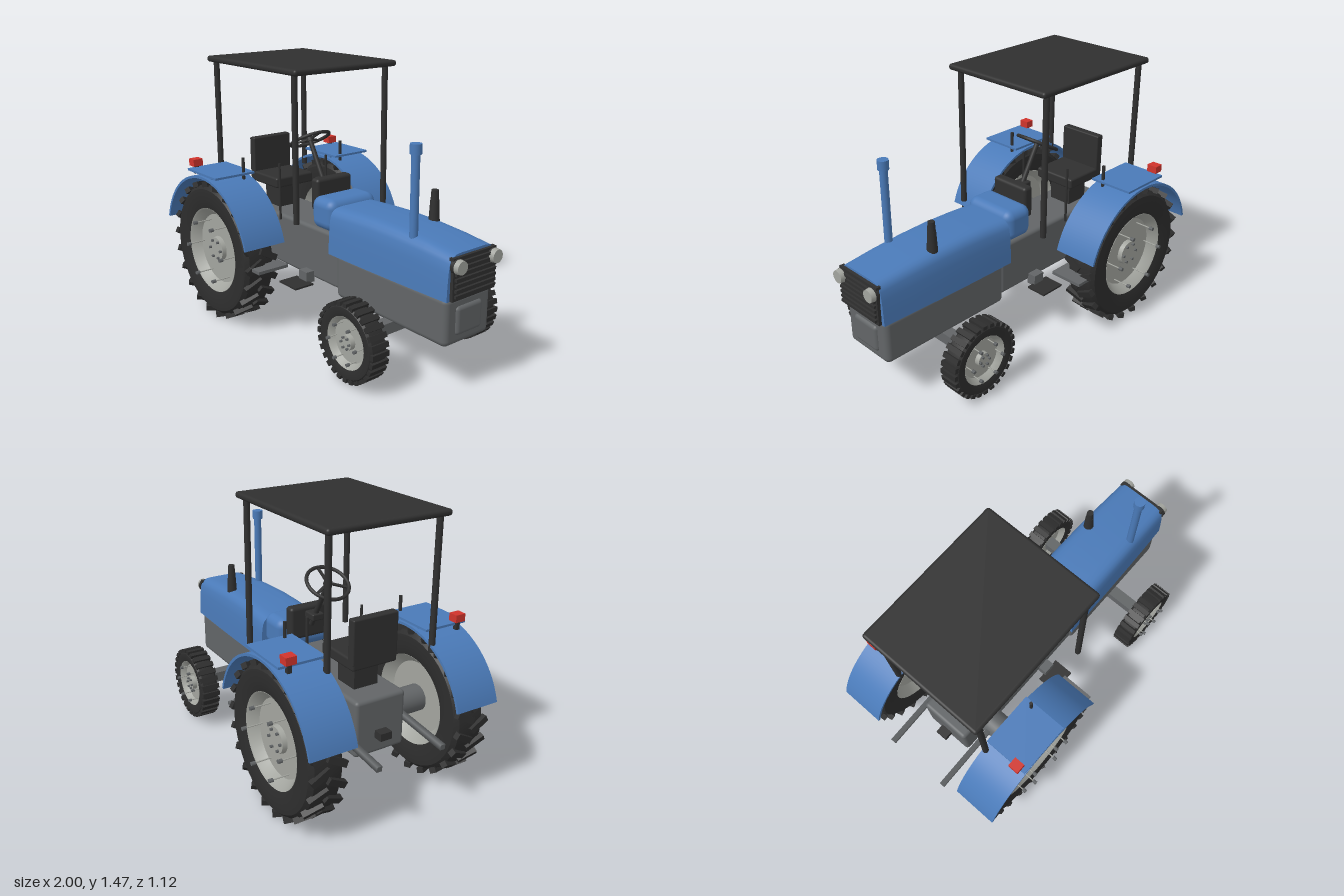
import * as THREE from 'three';
import { toCreasedNormals } from 'three/addons/utils/BufferGeometryUtils.js';
import { RoundedBoxGeometry } from 'three/addons/geometries/RoundedBoxGeometry.js';

const mat = (name, color) => {
  const m = new THREE.MeshStandardMaterial({ color });
  m.name = name;
  return m;
};

export function createModel() {
  const blue = mat('blue paint', 0x4a7ab8), black = mat('black trim', 0x303030);
  const rubber = mat('tyre rubber', 0x2d2d2d), grey = mat('chassis grey', 0x626567);
  const silver = mat('rim grey', 0xa3a59f), red = mat('red lamp', 0xd0342c);
  const root = new THREE.Group();
  root.name = 'tractor';

  const add = (name, geo, material, x = 0, y = 0, z = 0, parent = root) => {
    const m = new THREE.Mesh(geo, material);
    m.name = name;
    m.position.set(x, y, z);
    parent.add(m);
    return m;
  };
  // box given by its min and max corners, rounded when r > 0
  const box = (name, material, [x0, x1], [y0, y1], [z0, z1], r = 0) => {
    const s = [x1 - x0, y1 - y0, z1 - z0];
    const g = r ? new RoundedBoxGeometry(...s, 4, r) : new THREE.BoxGeometry(...s);
    return add(name, g, material, (x0 + x1) / 2, (y0 + y1) / 2, (z0 + z1) / 2);
  };
  // rod between two points
  const rod = (name, material, a, b, r0, r1 = r0, seg = 16) => {
    const A = new THREE.Vector3(...a), B = new THREE.Vector3(...b);
    const m = add(name, new THREE.CylinderGeometry(r1, r0, A.distanceTo(B), seg), material);
    m.position.copy(A).add(B).multiplyScalar(0.5);
    m.quaternion.setFromUnitVectors(new THREE.Vector3(0, 1, 0), B.sub(A).normalize());
    return m;
  };
  const lathe = (pts) => toCreasedNormals(
    new THREE.LatheGeometry(pts.map(p => new THREE.Vector2(...p)), 48), 0.6);

  // Wheel: axis along z, outer face towards +z
  function wheel(name, { R, rim, half, lugs, chevron, boltR, boltZ, boltSize }) {
    const g = new THREE.Group();
    g.name = name;
    const body = R * 0.955;
    add('tyre', lathe([[rim, -half * 0.85], [rim * 1.2, -half], [body * 0.93, -half * 0.97], [body * 0.985, -half * 0.75],
      [body, 0], [body * 0.985, half * 0.75], [body * 0.93, half * 0.97], [rim * 1.2, half], [rim, half * 0.85]]),
    rubber, 0, 0, 0, g).rotation.x = Math.PI / 2;
    const disc = half * 0.3;
    add('rim', lathe([[0, -disc], [rim * 0.8, -disc], [rim, -half * 0.87], [rim * 1.02, 0], [rim, half * 0.87],
      [rim * 0.96, half * 0.8], [rim * 0.82, disc], [0, disc]]), silver, 0, 0, 0, g).rotation.x = Math.PI / 2;
    add('hub', new THREE.CylinderGeometry(rim * 0.28, rim * 0.3, 0.03, 24), silver, 0, 0, disc + 0.01, g).rotation.x = Math.PI / 2;

    // tread lugs: angled pairs on the rear, straight bars on the front
    const lugGeo = chevron ? new THREE.BoxGeometry(R * 0.085, R * 0.075, half * 1.15)
      : new THREE.BoxGeometry(R * 0.13, R * 0.1, half * 1.96);
    for (let i = 0; i < lugs; i++) {
      for (const s of chevron ? [-1, 1] : [0]) {
        const spoke = new THREE.Group();
        spoke.name = 'treadLug';
        spoke.rotation.z = (i + (s > 0 ? 0.5 : 0)) * Math.PI * 2 / lugs;
        add('lug', lugGeo, rubber, 0, R * 0.958, s * half * 0.47, spoke).rotation.y = s * 0.5;
        g.add(spoke);
      }
    }
    // outer bolts on thin studs, and the hub bolt ring
    for (let i = 0; i < 6; i++) {
      const a = i * Math.PI / 3, c = Math.cos(a), s = Math.sin(a);
      const bolt = (label, r, z0, z1, size, m) => {
        add(label, new THREE.CylinderGeometry(size, size, z1 - z0, 6), m, c * r, s * r, (z0 + z1) / 2, g).rotation.x = Math.PI / 2;
      };
      bolt('rimBolt', boltR, boltZ - boltSize * 2, boltZ, boltSize, grey);
      bolt('rimStud', boltR, disc, boltZ - boltSize, boltSize * 0.35, silver);
      bolt('hubBolt', rim * 0.22, disc + 0.02, disc + 0.037, boltSize * 0.75, grey);
    }
    return g;
  }
  for (const s of [1, -1]) {
    const side = s > 0 ? 'left' : 'right';
    const rear = wheel(side + 'RearWheel', { R: 0.4, rim: 0.245, half: 0.093, lugs: 22, chevron: true, boltR: 0.175, boltZ: 0.14, boltSize: 0.011 });
    const front = wheel(side + 'FrontWheel', { R: 0.205, rim: 0.135, half: 0.053, lugs: 28, chevron: false, boltR: 0.1, boltZ: 0.08, boltSize: 0.009 });
    rear.position.set(-0.55, 0.41, s * 0.418);
    front.position.set(0.555, 0.235, s * 0.385);
    if (s < 0) rear.rotation.y = front.rotation.y = Math.PI;
    root.add(rear, front);
  }

  // Hood lofted from cross-sections [x, top, half width]
  const arch = [[1, 0], [0.985, 0.3], [0.96, 0.6], [0.92, 0.81], [0.87, 0.89], [0.79, 0.95], [0.68, 0.985], [0.5, 1]];
  const ring = [...arch, ...arch.map(([w, h]) => [-w, h]).reverse()];
  const secs = [[0.115, 0.75, 0.18], [0.27, 0.758, 0.18], [0.42, 0.762, 0.179], [0.6, 0.757, 0.176], [0.78, 0.745, 0.171], [0.95, 0.727, 0.165]];
  const base = 0.503, n = ring.length, pos = [], idx = [];
  secs.forEach(([x, top, w]) => ring.forEach(([rz, ry]) => pos.push(x, base + ry * (top - base), rz * w)));
  for (let i = 0; i < secs.length - 1; i++) for (let j = 0; j < n; j++) {
    const a = i * n + j, b = i * n + (j + 1) % n;
    idx.push(a, a + n, b, b, a + n, b + n);
  }
  const last = (secs.length - 1) * n;
  for (let j = 1; j < n - 1; j++) idx.push(0, j, j + 1, last, last + j + 1, last + j);
  const hood = new THREE.BufferGeometry();
  hood.setAttribute('position', new THREE.Float32BufferAttribute(pos, 3));
  hood.setIndex(idx);
  add('hood', toCreasedNormals(hood, 0.7), blue);
  box('cowl', blue, [-0.065, 0.118], [0.605, 0.782], [-0.163, 0.163], 0.05);

  // Grille, slats and headlights
  box('grille', black, [0.94, 0.967], [0.505, 0.715], [-0.145, 0.145]);
  for (let i = 0; i < 7; i++) box('grilleSlat', black, [0.96, 0.98], [0.522 + i * 0.027, 0.536 + i * 0.027], [-0.135, 0.135]);
  for (const s of [-1, 1]) {
    rod('headlightHousing', black, [0.955, 0.675, s * 0.12], [0.975, 0.675, s * 0.12], 0.037, 0.037, 24);
    rod('headlight', silver, [0.975, 0.675, s * 0.12], [1.0, 0.675, s * 0.12], 0.036, 0.033, 24);
  }

  // Exhaust and air intake
  rod('exhaustPipe', blue, [0.685, 0.72, 0.12], [0.685, 1.15, 0.12], 0.021, 0.021, 24);
  rod('exhaustCap', blue, [0.685, 1.14, 0.12], [0.685, 1.19, 0.12], 0.029, 0.029, 24);
  rod('airIntake', black, [0.595, 0.72, -0.11], [0.595, 0.86, -0.11], 0.03, 0.022);
  rod('airIntakeTop', black, [0.595, 0.86, -0.11], [0.595, 0.91, -0.11], 0.021, 0.018);

  // Chassis and axles
  box('engineBlock', grey, [0.145, 0.94], [0.262, 0.51], [-0.155, 0.155], 0.03);
  box('frontWeight', grey, [0.9, 0.953], [0.31, 0.46], [-0.09, 0.09], 0.022);
  box('gearbox', grey, [-0.75, 0.155], [0.303, 0.602], [-0.145, 0.145], 0.02);
  rod('rearAxle', grey, [-0.55, 0.41, -0.4], [-0.55, 0.41, 0.4], 0.072, 0.072, 32);
  box('frontAxle', grey, [0.522, 0.588], [0.215, 0.275], [-0.36, 0.36]);
  box('drawbar', black, [-0.8, -0.7], [0.39, 0.43], [-0.033, 0.033]);

  // Fenders, lamps, steps, hitch arms and levers on both sides
  const arc = new THREE.Shape();
  arc.absarc(0, 0, 0.437, 0.27, Math.PI - 0.27, false);
  arc.absarc(0, 0, 0.423, Math.PI - 0.27, 0.27, true);
  const fender = toCreasedNormals(new THREE.ExtrudeGeometry(arc, { depth: 0.25, bevelEnabled: false, curveSegments: 32 }), 0.5);
  for (const s of [-1, 1]) {
    const span = (a, b) => s > 0 ? [a, b] : [-b, -a];
    add('fender', fender, blue, -0.55, 0.41, s > 0 ? 0.29 : -0.54);
    box('fenderPlate', blue, [-0.705, -0.405], [0.856, 0.868], span(0.29, 0.54));
    box('fenderPlateSupport', blue, [-0.62, -0.48], [0.835, 0.858], span(0.31, 0.52));
    box('tailLamp', red, [-0.73, -0.678], [0.876, 0.916], span(0.457, 0.515));
    box('tailLampFoot', black, [-0.715, -0.693], [0.83, 0.877], span(0.475, 0.497));
    box('footPlate', grey, [-0.21, -0.085], [0.398, 0.415], span(0.3, 0.49));
    box('step', black, [-0.17, -0.02], [0.282, 0.292], span(0.18, 0.3));
    box('stepBracket', grey, [-0.13, -0.06], [0.282, 0.345], span(0.14, 0.195));
    rod('hitchArm', grey, [-0.55, 0.44, s * 0.185], [-0.995, 0.393, s * 0.185], 0.02, 0.02, 4).rotateY(Math.PI / 4);
    rod('fenderLever', black, [-0.43, 0.8, s * 0.345], [-0.43, 0.95, s * 0.345], 0.009, 0.009, 8);
    rod('gearLever', black, [-0.34, 0.58, s * 0.165], [-0.34, 0.905, s * 0.165], 0.007, 0.007, 8);
    rod('frontRoofPost', black, [0.005, 0.667, s * 0.305], [0.005, 1.46, s * 0.305], 0.0165);
    rod('rearRoofPost', black, [-0.735, 0.76, s * 0.305], [-0.735, 1.46, s * 0.305], 0.0165);
  }
  box('roof', black, [-0.782, 0.062], [1.444, 1.477], [-0.342, 0.342], 0.015);

  // Seat
  box('seatBack', black, [-0.69, -0.643], [0.76, 0.995], [-0.13, 0.13], 0.008);
  box('seatCushion', black, [-0.69, -0.42], [0.735, 0.795], [-0.13, 0.13], 0.012);
  box('seatPedestal', black, [-0.62, -0.48], [0.59, 0.74], [-0.07, 0.07]);

  // Dashboard and steering
  box('dashboard', black, [-0.113, -0.05], [0.682, 0.862], [-0.12, 0.12], 0.018);
  box('columnBracket', black, [-0.19, -0.1], [0.8, 0.838], [-0.035, 0.035], 0.008);
  rod('steeringColumn', black, [-0.12, 0.76, 0], [-0.272, 1.03, 0], 0.014);
  const steering = new THREE.Group();
  steering.name = 'steeringWheel';
  steering.position.set(-0.272, 1.033, 0);
  steering.rotation.z = 0.52;
  add('steeringRim', new THREE.TorusGeometry(0.112, 0.0095, 12, 48), black, 0, 0, 0, steering).rotation.x = Math.PI / 2;
  add('steeringHub', new THREE.CylinderGeometry(0.022, 0.022, 0.022, 20), black, 0, 0, 0, steering);
  for (let i = 0; i < 3; i++) {
    const a = i * Math.PI * 2 / 3;
    add('steeringSpoke', new THREE.BoxGeometry(0.11, 0.009, 0.014), black, Math.cos(a) * 0.056, 0, -Math.sin(a) * 0.056, steering).rotation.y = a;
  }
  root.add(steering);
  return root;
}
